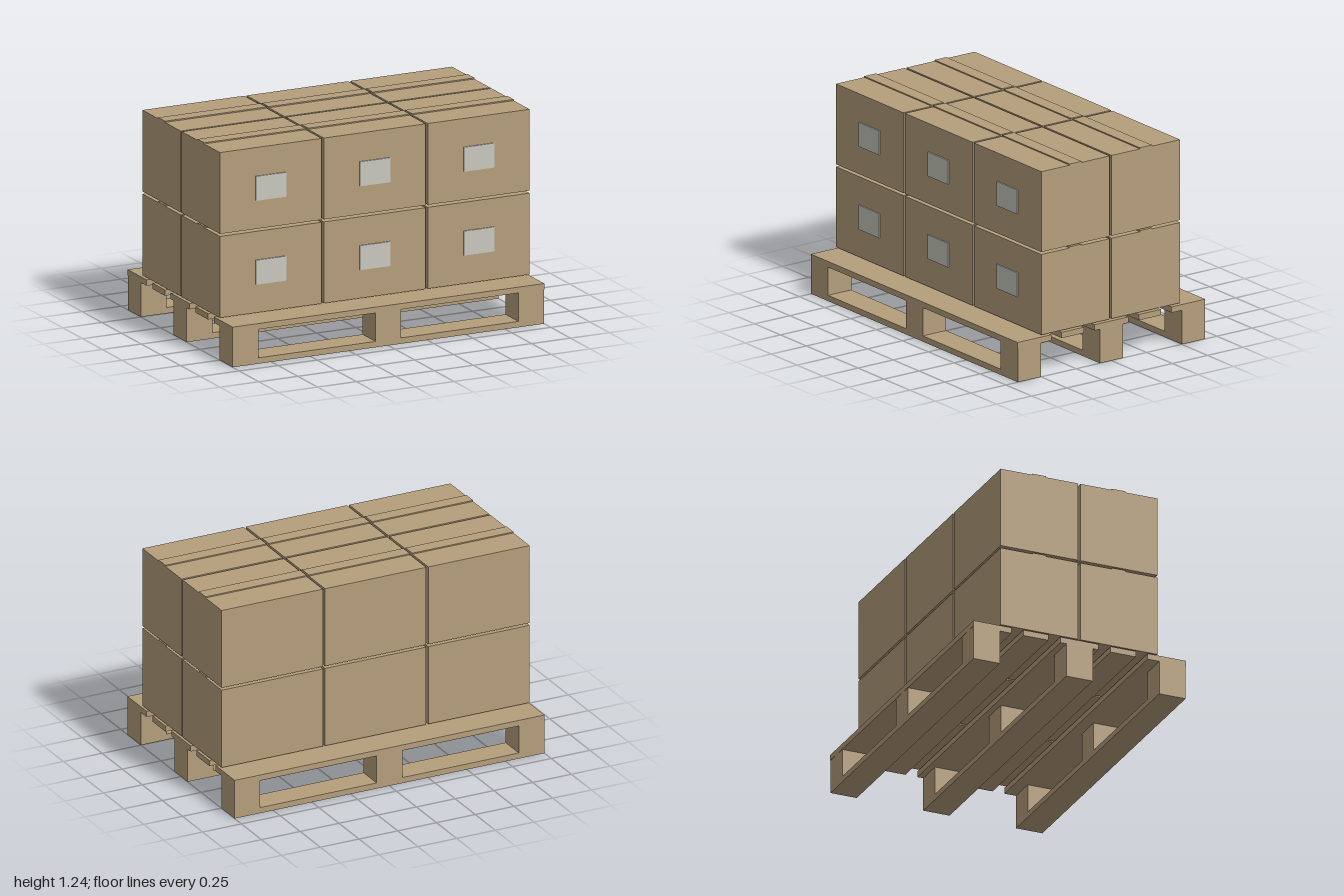
import * as THREE from 'three';

export function createModel() {
  const model = new THREE.Group();
  model.name = 'loadedPallet';

  const cardboard = new THREE.MeshStandardMaterial({ color: 0xb59f7c });
  cardboard.name = 'tan';
  const paper = new THREE.MeshStandardMaterial({ color: 0xc8c8c0 });
  paper.name = 'pale grey';

  // Box given by its size, centre x and z, and the height of its underside
  const addBox = (parent, name, material, w, h, d, x, bottom, z) => {
    const mesh = new THREE.Mesh(new THREE.BoxGeometry(w, h, d), material);
    mesh.name = name;
    mesh.position.set(x, bottom + h / 2, z);
    parent.add(mesh);
  };

  // Pallet: three runners, each a bottom board with three blocks
  const pallet = new THREE.Group();
  pallet.name = 'pallet';
  model.add(pallet);
  const board = 0.035, blockSize = 0.165, blockHeight = 0.17;
  for (const z of [-0.583, 0, 0.583]) {
    addBox(pallet, 'bottomBoard', cardboard, 2, board, blockSize, 0, 0, z);
    for (const x of [-1, 0, 1]) {
      addBox(pallet, 'block', cardboard, blockSize, blockHeight, blockSize,
        x * (1 - blockSize / 2), board, z);
    }
  }

  // Deck boards, alternating wide and narrow
  for (const [z, depth] of [[-0.547, 0.24], [-0.274, 0.158], [0, 0.24], [0.274, 0.158], [0.547, 0.24]]) {
    addBox(pallet, 'deckBoard', cardboard, 2, board, depth, 0, board + blockHeight, z);
  }

  // Cartons: two layers, two rows, three columns
  const w = 0.653, h = 0.485, d = 0.486, trim = 0.007;
  for (const y of [0.25, 0.75]) {
    for (const z of [-0.25, 0.25]) {
      for (const x of [-0.667, 0, 0.667]) {
        const carton = new THREE.Group();
        carton.name = 'carton';
        carton.position.set(x, y, z);
        addBox(carton, 'cartonBody', cardboard, w, h, d, 0, 0, 0);
        addBox(carton, 'tape', cardboard, w, trim, 0.085, 0, h, 0);
        addBox(carton, 'label', paper, 0.196, 0.146, trim, 0, 0.169, d / 2 + trim / 2);
        model.add(carton);
      }
    }
  }
  return model;
}
